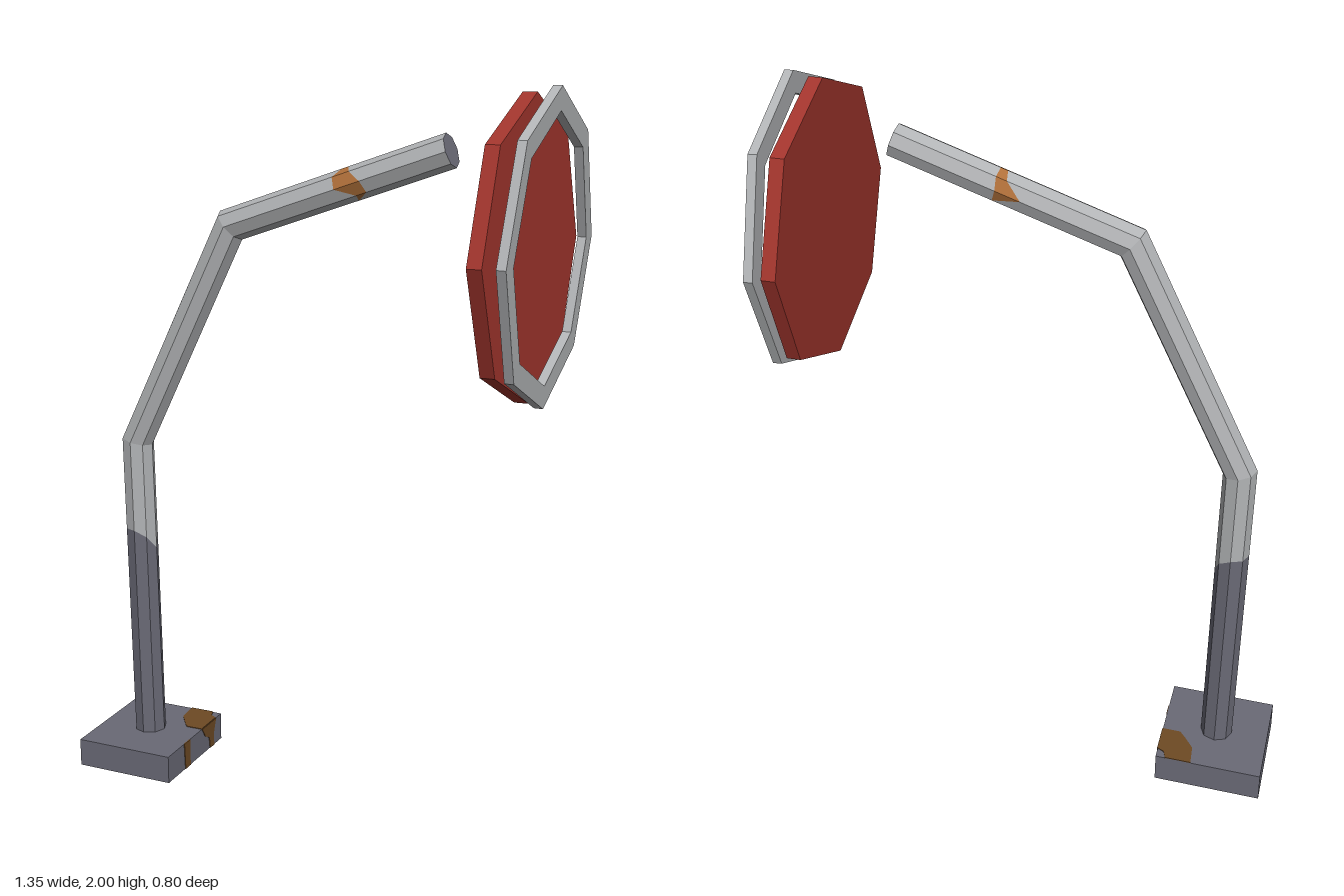
import * as THREE from 'three';

const mat = (name, color) => {
  const m = new THREE.MeshStandardMaterial({ color });
  m.name = name;
  return m;
};

const SIDES = 8;
const POLE_R = 0.046;

// Ring of points round the pole. slide moves each point along the axis;
// corner 0 is on the outer side of the bend, corner 2 faces +z.
function section(x, y, angle, slide = [], stretch = 1) {
  const d = new THREE.Vector3(Math.cos(angle), Math.sin(angle), 0);
  const n = new THREE.Vector3(-d.y, d.x, 0);
  return Array.from({ length: SIDES }, (_, i) => {
    const a = (i / SIDES) * Math.PI * 2;
    return new THREE.Vector3(x, y, 0)
      .addScaledVector(n, Math.cos(a) * POLE_R * stretch)
      .addScaledVector(d, slide[i] || 0)
      .add(new THREE.Vector3(0, 0, Math.sin(a) * POLE_R));
  });
}

function triangles(points) {
  const g = new THREE.BufferGeometry().setFromPoints(points);
  g.computeVertexNormals();
  return g;
}

// Flat-faced skin through consecutive sections
function skin(sections) {
  const pts = [];
  for (let s = 0; s + 1 < sections.length; s++) {
    const a = sections[s], b = sections[s + 1];
    for (let i = 0; i < SIDES; i++) {
      const j = (i + 1) % SIDES;
      pts.push(a[i], a[j], b[j], a[i], b[j], b[i]);
    }
  }
  return triangles(pts);
}

function octagon(path, r) {
  const pts = [];
  for (let i = 0; i < 8; i++) {
    const a = (i / 8) * Math.PI * 2 - 0.02;
    pts.push(new THREE.Vector2(r * Math.cos(a), r * Math.sin(a)));
  }
  return path.setFromPoints(pts);
}

// Plate extruded from a shape, turned to face +x
function facingX(shape, depth) {
  return new THREE.ExtrudeGeometry(shape, { depth, bevelEnabled: false })
    .translate(0, 0, -depth / 2).rotateY(Math.PI / 2);
}

const outline = (pts) => new THREE.Shape(pts.map(([x, y]) => new THREE.Vector2(x, y)));

export function createModel() {
  const model = new THREE.Group();
  model.name = 'bentRoadSign';
  const lightSteel = mat('light steel', 0xb2b4b6);
  const darkSteel = mat('dark steel', 0x6a6a76);
  const red = mat('sign red', 0xa2352d);
  const rust = mat('rust', 0xb0703a);
  const darkRust = mat('dark rust', 0x6e4a24);

  const add = (name, geometry, material, parent = model) => {
    const mesh = new THREE.Mesh(geometry, material);
    mesh.name = name;
    parent.add(mesh);
    return mesh;
  };

  // Pole: path of the bent post
  const path = [[-0.524, 0.07], [-0.54, 0.985], [-0.23, 1.618], [0.394, 1.838]];
  const heading = (k) => Math.atan2(path[k + 1][1] - path[k][1], path[k + 1][0] - path[k][0]);
  const [h0, h1, h2] = [0, 1, 2].map(heading);
  const miter = (k, a, b) => section(...path[k], (a + b) / 2, [], 1 / Math.cos((a - b) / 2));
  const along = (k, t) => [0, 1].map((c) => path[k][c] + (path[k + 1][c] - path[k][c]) * t);

  const foot = section(...path[0], h0);
  const paintLine = section(...along(0, 0.69), h0, [0.02, 0.02, 0.02, 0, -0.04, 0, 0.02, 0.02]);
  const bend1 = miter(1, h0, h1);
  const bend2 = miter(2, h1, h2);
  const mid = along(2, 0.56);
  const rustStart = section(...mid, h2, [-0.01, -0.03, -0.03, 0.02, 0.01, 0, -0.07, -0.02]);
  const rustEnd = section(...mid, h2, [0.01, 0.02, 0.045, 0.05, 0.01, 0, 0, 0.01]);
  const tip = section(...path[3], h2);

  const pole = new THREE.Group();
  pole.name = 'pole';
  model.add(pole);
  add('lowerPole', skin([foot, paintLine]), darkSteel, pole);
  add('upperPole', skin([paintLine, bend1, bend2, rustStart]), lightSteel, pole);
  add('poleRustBand', skin([rustStart, rustEnd]), rust, pole);
  add('poleArmEnd', skin([rustEnd, tip]), lightSteel, pole);
  const centre = new THREE.Vector3(...path[3], 0);
  add('poleCap', triangles(tip.flatMap((p, i) => [centre, p, tip[(i + 1) % SIDES]])), darkSteel, pole);

  // Base: slightly skewed block with thin rust patches
  const base = new THREE.Group();
  base.name = 'base';
  base.position.set(-0.5225, 0.045, 0);
  model.add(base);
  const skew = (g) => {
    const p = g.attributes.position;
    for (let i = 0; i < p.count; i++) {
      const x = p.getX(i);
      p.setY(i, p.getY(i) + 0.025 * x);
      p.setZ(i, p.getZ(i) + 0.03 * x);
    }
    g.computeVertexNormals();
    return g;
  };
  add('baseBlock', skew(new THREE.BoxGeometry(0.305, 0.082, 0.33)), darkSteel, base);

  const topPatch = outline([[0.05, -0.165], [0.125, -0.165], [0.133, -0.14], [0.1525, -0.13],
    [0.1525, -0.04], [0.1, -0.04], [0.08, -0.065], [0.055, -0.1]]);
  add('baseTopRust', skew(new THREE.ExtrudeGeometry(topPatch, { depth: 0.004, bevelEnabled: false })
    .rotateX(Math.PI / 2).translate(0, 0.043, 0)), darkRust, base);

  const sidePatches = [
    [[-0.065, -0.041], [-0.035, -0.041], [-0.035, 0.041], [-0.07, 0.041]],
    [[0.04, 0.041], [0.06, 0.01], [0.085, -0.005], [0.09, -0.041], [0.115, -0.041],
      [0.115, 0.0], [0.13, 0.041]],
  ];
  for (const pts of sidePatches) {
    add('baseSideRust', skew(facingX(outline(pts), 0.004).translate(0.1525, 0, 0)), darkRust, base);
  }

  // Sign: red disc and the loose rim in front of it
  const disc = add('signDisc', facingX(octagon(new THREE.Shape(), 0.388), 0.038), red);
  disc.position.set(0.598, 1.598, 0.006);
  disc.rotation.set(0, -0.012, 0.014);

  const rimShape = octagon(new THREE.Shape(), 0.402);
  rimShape.holes.push(octagon(new THREE.Path(), 0.342));
  const rim = add('signRim', facingX(rimShape, 0.024), lightSteel);
  rim.position.set(0.653, 1.6, -0.002);
  rim.rotation.set(0, 0.017, -0.016);

  return model;
}
